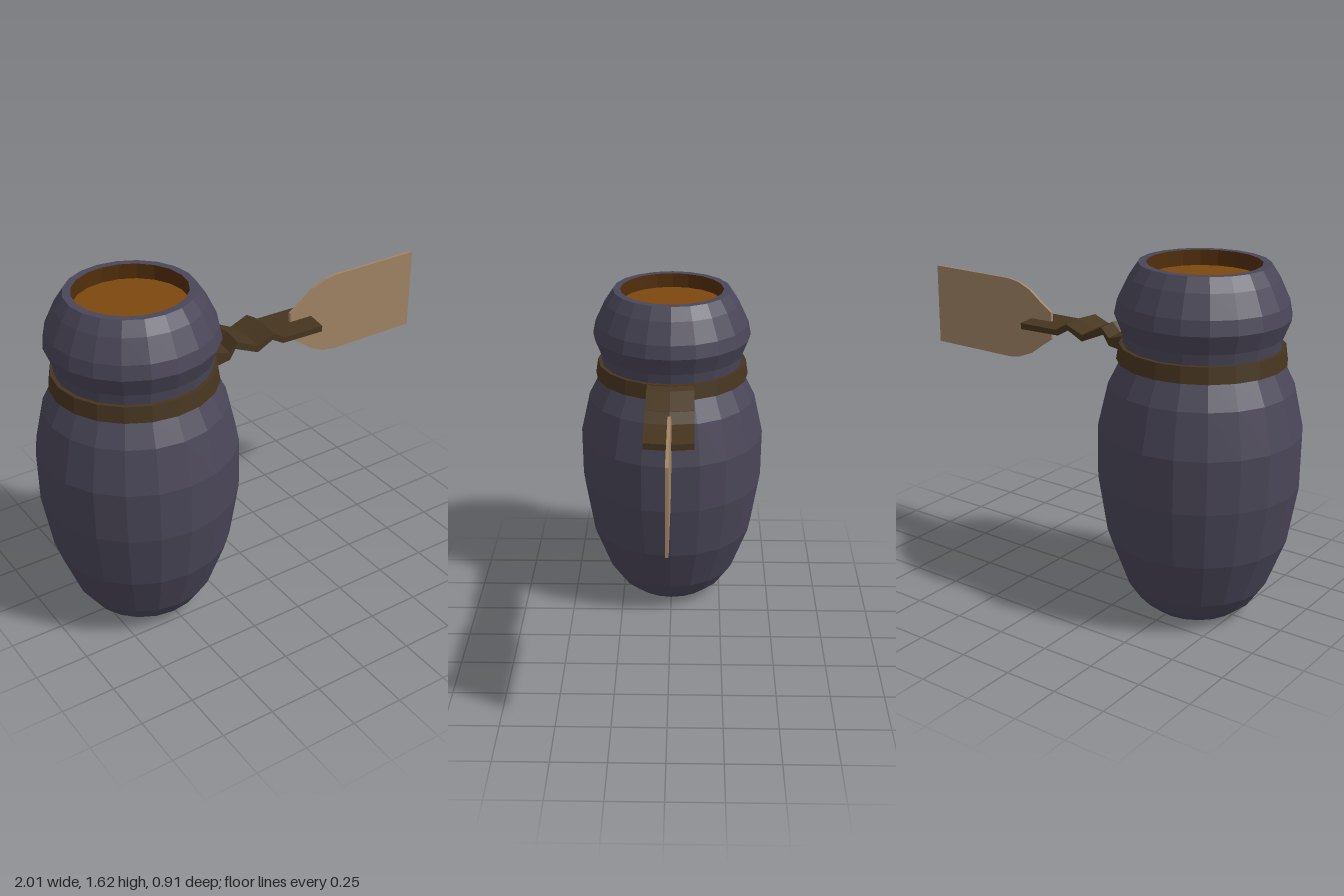
import * as THREE from 'three';

const mat = (name, color, side = THREE.FrontSide) => {
  const m = new THREE.MeshStandardMaterial({ color, side, flatShading: true });
  m.name = name;
  return m;
};

export function createModel() {
  const clay = mat('slate clay', 0x4a4658);
  const leather = mat('dark leather', 0x46351f);
  const paper = mat('tan paper', 0xa08464);
  const filling = mat('amber filling', 0x7d470e);
  const lining = mat('brown lining', 0x522e0a, THREE.DoubleSide);

  const root = new THREE.Group();
  root.name = 'taggedJar';
  const SIDES = 20;
  const jarX = -0.55;

  const add = (parent, name, geometry, material) => {
    const mesh = new THREE.Mesh(geometry, material);
    mesh.name = name;
    parent.add(mesh);
    return mesh;
  };
  const lathe = (points) =>
    new THREE.LatheGeometry(points.map(([r, y]) => new THREE.Vector2(r, y)), SIDES);

  const jar = new THREE.Group();
  jar.name = 'jar';
  jar.position.x = jarX;
  root.add(jar);

  // Body from the base up to the flat rim
  add(jar, 'jarBody', lathe([
    [0, 0], [0.14, 0], [0.205, 0.018], [0.27, 0.07], [0.325, 0.15], [0.41, 0.375],
    [0.453, 0.64], [0.455, 0.88], [0.41, 1.08], [0.355, 1.19], [0.345, 1.26],
    [0.352, 1.31], [0.385, 1.395], [0.372, 1.46], [0.325, 1.56], [0.285, 1.62], [0.25, 1.62],
  ]), clay);

  // Inside of the mouth and the contents
  add(jar, 'mouthWall', lathe([[0.25, 1.62], [0.25, 1.55]]), lining);
  add(jar, 'contents', lathe([[0.25, 1.55], [0, 1.55]]), filling);

  // Leather band around the neck
  add(jar, 'neckBand', lathe([
    [0.34, 1.19], [0.375, 1.19], [0.364, 1.262], [0.34, 1.262],
  ]), leather);

  // Crumpled strap: zigzag side profile, its middle slightly ahead of its edges
  const top = [[-0.24, 1.262], [-0.19, 1.26], [-0.11, 1.237], [-0.07, 1.28], [0.04, 1.226],
    [0.13, 1.262], [0.19, 1.226], [0.4, 1.224]];
  const under = [[0.4, 1.195], [0.18, 1.2], [0.12, 1.234], [0.04, 1.195], [-0.08, 1.248],
    [-0.11, 1.202], [-0.19, 1.19], [-0.24, 1.19]];
  const outline = (pts) => new THREE.Shape(pts.map(([x, y]) => new THREE.Vector2(x, y)));
  const half = 0.112;
  const strap = new THREE.ExtrudeGeometry(outline([...top, ...under]),
    { depth: half * 2, steps: 2, bevelEnabled: false });
  strap.translate(0, 0, -half);
  const p = strap.attributes.position;
  for (let i = 0; i < p.count; i++) {
    p.setX(i, p.getX(i) - 0.017 * Math.abs(p.getZ(i)) / half);
  }
  strap.computeVertexNormals();
  add(root, 'strap', strap, leather);

  // Upright paper tag with a tapered neck
  const midY = 1.204;
  const edge = [[0.28, 0.065], [0.35, 0.112], [0.41, 0.157], [0.48, 0.186], [0.54, 0.195], [1, 0.195]];
  const tag = new THREE.ExtrudeGeometry(outline([
    ...edge.map(([x, h]) => [x, midY - h]),
    ...edge.slice().reverse().map(([x, h]) => [x, midY + h]),
  ]), { depth: 0.014, bevelEnabled: false });
  tag.translate(0, 0, -0.012);
  add(root, 'tag', tag, paper);

  return root;
}
